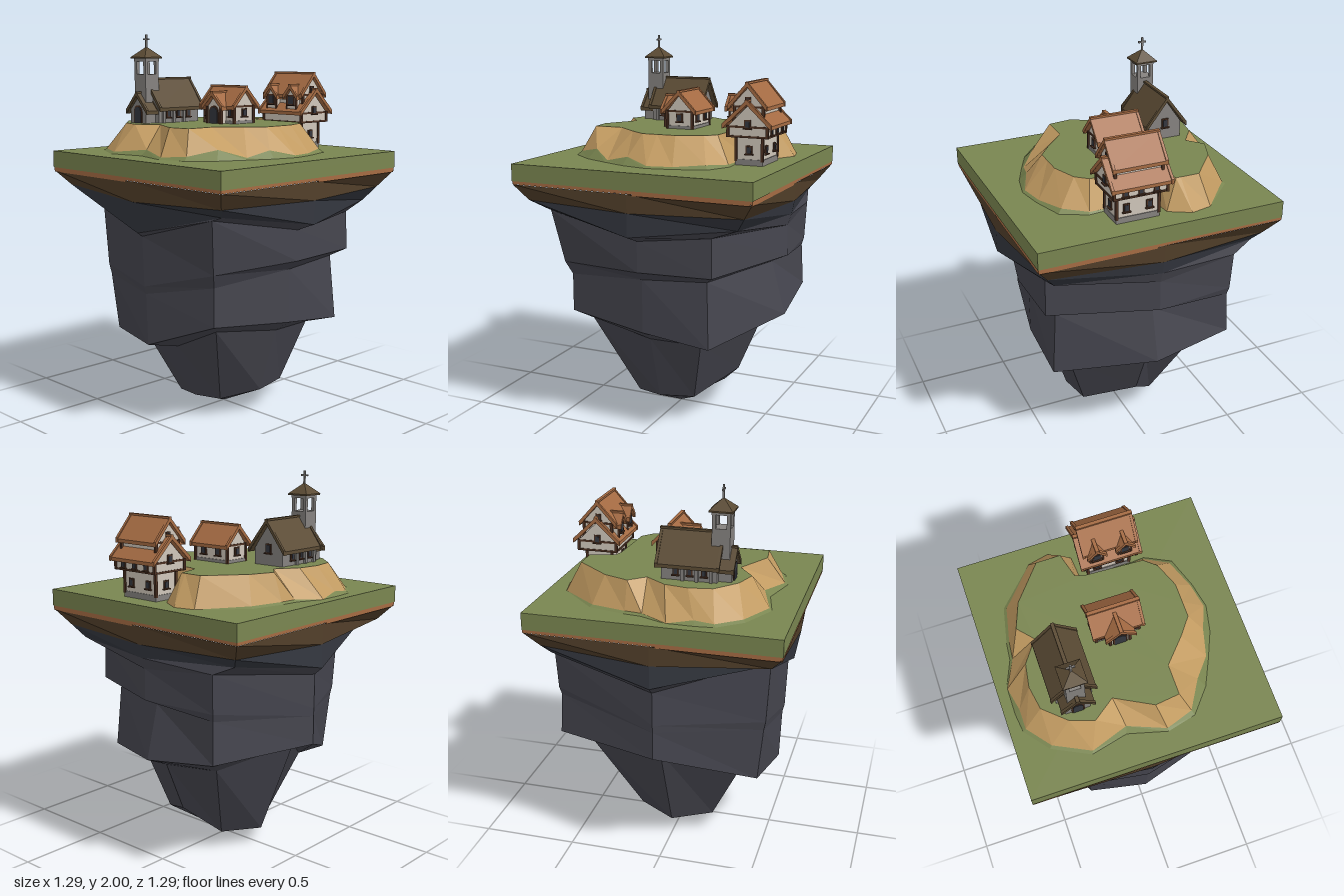
import * as THREE from 'three';

const mat = (name, color) => Object.assign(new THREE.MeshStandardMaterial({ color }), { name });
const M = {
  grass: mat('grass', 0x798550), sand: mat('cliff sand', 0xc39c62), dirt: mat('dirt', 0x523f2a),
  slate: mat('slate', 0x34373f), rock: mat('rock', 0x45454e), tile: mat('clay tile', 0xa56b43),
  shingle: mat('shingle', 0x5b4b34), plaster: mat('plaster', 0xcfc6ba), stone: mat('stone', 0x85827f),
  timber: mat('timber', 0x4e3223),
};

function add(parent, name, geo, material, x = 0, y = 0, z = 0, ry = 0) {
  const m = new THREE.Mesh(geo, material);
  m.name = name;
  m.position.set(x, y, z);
  m.rotation.y = ry;
  parent.add(m);
  return m;
}
function group(parent, name, x, y, z, ry = 0) {
  const g = new THREE.Group();
  g.name = name;
  g.position.set(x, y, z);
  g.rotation.y = ry;
  parent.add(g);
  return g;
}
// box standing on y
const box = (p, name, m, w, h, d, x, y, z) => add(p, name, new THREE.BoxGeometry(w, h, d), m, x, y + h / 2, z);

// flat-shaded skin between closed rings, listed from top to bottom
function skin(rings) {
  const pos = [];
  for (let k = 0; k + 1 < rings.length; k++) {
    const n = rings[k].length;
    for (let i = 0; i < n; i++) {
      const j = (i + 1) % n;
      const [a, b, c, d] = [rings[k][i], rings[k + 1][i], rings[k + 1][j], rings[k][j]];
      pos.push(...a, ...b, ...c, ...a, ...c, ...d);
    }
  }
  const g = new THREE.BufferGeometry();
  g.setAttribute('position', new THREE.Float32BufferAttribute(pos, 3));
  g.computeVertexNormals();
  return g;
}

// 2D outline pushed along z, centred
function prism(points, len) {
  const s = new THREE.Shape(points.map(([x, y]) => new THREE.Vector2(x, y)));
  return new THREE.ExtrudeGeometry(s, { depth: len, bevelEnabled: false }).translate(0, 0, -len / 2);
}
const gableWall = (w, h, rise, len) =>
  prism([[-w / 2, 0], [w / 2, 0], [w / 2, h], [0, h + rise], [-w / 2, h]], len);
const chevron = (w, rise, len, t) =>
  prism([[-w / 2, -t], [0, rise - t], [w / 2, -t], [w / 2, 0], [0, rise], [-w / 2, 0]], len);

// gable roof with raised boards at both ends and a ridge cap
function roof(p, m, w, rise, len, x, y, z, ry = 0) {
  const g = group(p, 'roof', x, y, z, ry);
  add(g, 'roofSlopes', chevron(w, rise, len - 0.01, 0.018), m);
  for (const s of [-1, 1]) add(g, 'bargeBoard', chevron(w + 0.006, rise, 0.014, 0.024), m, 0, 0.005, s * (len / 2 - 0.007));
  box(g, 'ridgeCap', m, 0.018, 0.01, len, 0, rise - 0.004, 0);
}

// thin window with frame and sill, facing ry
function windowAt(p, x, y, z, ry = 0, w = 0.034, h = 0.044) {
  const g = group(p, 'window', x, y, z, ry);
  box(g, 'windowFrame', M.timber, w, h, 0.008, 0, 0, 0);
  box(g, 'windowPane', M.slate, w - 0.012, h - 0.014, 0.009, 0, 0.007, 0.002);
  box(g, 'windowSill', M.timber, w + 0.01, 0.006, 0.016, 0, -0.003, 0.003);
}
function archPlate(w, h, t) {
  const s = new THREE.Shape();
  s.moveTo(-w / 2, 0);
  s.lineTo(w / 2, 0);
  s.lineTo(w / 2, h - w / 2);
  s.absarc(0, h - w / 2, w / 2, 0, Math.PI, false);
  return new THREE.ExtrudeGeometry(s, { depth: t, bevelEnabled: false, curveSegments: 4 });
}
function door(p, w, h, z, frameMat) {
  add(p, 'doorFrame', archPlate(w + 0.014, h + 0.008, 0.005), frameMat, 0, 0, z);
  add(p, 'door', archPlate(w, h, 0.008), M.slate, 0, 0, z);
}
// timber posts at the corners and beams around the foot and head of a wall
function frame(p, w, d, y, h, foot = true) {
  for (const x of [-1, 1]) for (const z of [-1, 1])
    box(p, 'cornerPost', M.timber, 0.014, h, 0.014, x * w / 2, y, z * d / 2);
  for (const yy of foot ? [y, y + h - 0.01] : [y + h - 0.01])
    box(p, 'beam', M.timber, w + 0.008, 0.01, d + 0.008, 0, yy, 0);
}

function buildRock(root) {
  // eight directions, front round to the left: a square for the soil, a skewed one for the rock
  const square = [[0, 1], [1, 1], [1, 0], [1, -1], [0, -1], [-1, -1], [-1, 0], [-1, 1]];
  const skewed = [[0, 1], [.88, 1], [1, 0], [1, -.75], [0, -1], [-.75, -1], [-1, 0], [-.65, 1]];
  const ring = (dirs, r, y) => dirs.map(([x, z], i) => [x * r[i], y[i], z * r[i]]);
  const all = v => Array(8).fill(v);
  const rim = ring(square, all(0.642), all(1.285));
  const soil = ring(square, [.63, .585, .64, .58, .635, .58, .64, .58], [1.18, 1.2, 1.19, 1.2, 1.19, 1.2, 1.18, 1.21]);
  const bulge = ring(square, [.6, .52, .64, .53, .62, .54, .645, .5], [1.02, 1.15, 1.07, 1.13, 1.12, 1.15, 1.06, 1.17]);
  const body = [bulge,
    ring(skewed, [.57, .53, .535, .525, .6, .57, .6, .54], [1.0, 1.13, 1.03, 1.08, 1.06, 1.1, 1.02, 1.15]),
    ring(skewed, [.56, .48, .535, .53, .605, .56, .6, .52], [.74, .85, .87, .88, .9, .9, .84, .8]),
    ring(skewed, [.55, .45, .48, .46, .52, .55, .598, .51], [.7, .78, .82, .84, .86, .86, .8, .75]),
    ring(skewed, [.54, .45, .48, .485, .595, .56, .6, .48], [.43, .58, .54, .5, .58, .64, .65, .45]),
    ring(skewed, [.34, .37, .39, .36, .46, .42, .47, .36], [.38, .53, .48, .47, .52, .55, .62, .42]),
    ring(skewed, [.21, .18, .28, .25, .34, .2, .26, .2], [.08, .09, .13, .14, .24, .1, .09, .08]),
    all([0, 0, 0])];
  add(root, 'soilLayer', skin([rim, soil]), M.dirt);
  add(root, 'slateLayer', skin([soil, bulge]), M.slate);
  add(root, 'floatingRock', skin(body), M.rock);
  box(root, 'claySeam', M.tile, 1.286, 0.018, 1.286, 0, 1.286, 0);
  box(root, 'grassSlab', M.grass, 1.29, 0.088, 1.29, 0, 1.302, 0);
  // partial lower clay strips along each side
  for (let i = 0; i < 4; i++) {
    const side = group(root, 'clayStrip', 0, 0, 0, i * Math.PI / 2);
    box(side, 'strip', M.tile, 0.6, 0.012, 0.008, i % 2 ? 0.33 : -0.34, 1.278, 0.638);
  }
}

function buildHill(root) {
  // top x, top z, foot x, foot z, foot height
  const edge = [
    [.055, .43, .09, .52, .01], [.18, .415, .23, .475, .02], [.18, .26, .31, .34, .05], [.29, .14, .40, .23, .01],
    [.36, .05, .43, .10, .04], [.36, -.03, .485, -.03, .01], [.36, -.13, .46, -.16, .01], [.31, -.26, .40, -.31, .02],
    [.25, -.31, .28, -.38, .01], [-.05, -.325, -.04, -.365, 0], [-.10, -.34, -.06, -.38, 0], [-.135, -.47, -.07, -.51, 0],
    [-.16, -.47, -.18, -.57, 0], [-.26, -.47, -.29, -.545, 0], [-.41, -.29, -.47, -.34, .01], [-.46, -.16, -.51, -.16, .01],
    [-.39, -.08, -.52, -.07, .01], [-.47, .03, -.59, .07, 0], [-.49, .15, -.565, .2, .02], [-.47, .27, -.565, .3, .01],
    [-.36, .37, -.47, .42, .01], [-.24, .41, -.29, .51, .01], [-.13, .33, -.1, .45, .03],
  ];
  const top = edge.map(e => [e[0], 1.54, e[1]]);
  const foot = edge.map(e => [e[2], 1.39 + e[4], e[3]]);
  const spread = e => 1.01 + e[4] * 2;
  const skirt = edge.map(e => [e[2] * spread(e), 1.389, e[3] * spread(e)]);
  add(root, 'cliff', skin([top, foot]), M.sand);
  add(root, 'grassSkirt', skin([foot, skirt]), M.grass);
  const lawn = new THREE.ShapeGeometry(new THREE.Shape(edge.map(e => new THREE.Vector2(e[0], -e[1]))));
  add(root, 'hillTop', lawn.rotateX(-Math.PI / 2), M.grass, 0, 1.54, 0);
}

function buildCottage(root) {
  const g = group(root, 'cottage', 0, 1.54, -0.04);
  add(g, 'walls', gableWall(0.14, 0.09, 0.085, 0.22), M.plaster, 0, 0, 0, Math.PI / 2);
  box(g, 'footing', M.stone, 0.23, 0.016, 0.15, 0, 0, 0);
  frame(g, 0.22, 0.14, 0, 0.095, false);
  roof(g, M.tile, 0.185, 0.1, 0.265, 0, 0.092, 0, Math.PI / 2);
  add(g, 'porchWalls', gableWall(0.1, 0.085, 0.055, 0.11), M.plaster, 0, 0, 0.055);
  for (const s of [-1, 1]) {
    box(g, 'porchPost', M.timber, 0.014, 0.09, 0.014, s * 0.05, 0, 0.108);
    windowAt(g, s * 0.113, 0.035, 0, s * Math.PI / 2);
    windowAt(g, s * 0.05, 0.035, -0.073, Math.PI);
    windowAt(g, s * 0.084, 0.035, 0.072, 0, 0.026);
  }
  roof(g, M.tile, 0.15, 0.075, 0.14, 0, 0.088, 0.06);
  door(g, 0.058, 0.085, 0.109, M.timber);
}

function buildTallHouse(root) {
  const g = group(root, 'tallHouse', 0.095, 1.39, -0.46);
  const q = Math.PI / 2;
  box(g, 'groundFloor', M.plaster, 0.22, 0.15, 0.138, 0, 0, 0);
  box(g, 'footing', M.stone, 0.228, 0.03, 0.146, 0, 0, 0);
  frame(g, 0.22, 0.138, 0.02, 0.13, false);
  // jettied middle floor under the wide roof
  add(g, 'middleFloor', gableWall(0.205, 0.055, 0.1, 0.275), M.plaster, 0, 0.142, 0, q);
  frame(g, 0.275, 0.205, 0.14, 0.058);
  roof(g, M.tile, 0.25, 0.12, 0.32, 0, 0.202, 0, q);
  add(g, 'upperFloor', gableWall(0.15, 0.1, 0.08, 0.245), M.plaster, 0, 0.205, 0.005, q);
  frame(g, 0.245, 0.15, 0.21, 0.085, false);
  roof(g, M.tile, 0.2, 0.115, 0.285, 0, 0.292, 0.005, q);
  for (const s of [-1, 1]) {
    windowAt(g, s * 0.112, 0.055, 0, s * q);
    windowAt(g, s * 0.139, 0.185, 0, s * q);
    windowAt(g, s * 0.125, 0.305, 0.005, s * q, 0.028, 0.034);
    for (const x of [-0.06, 0.06]) windowAt(g, x, 0.055, s * 0.071, s > 0 ? 0 : Math.PI);
    for (const x of [-0.08, 0, 0.08]) windowAt(g, x, 0.152, -0.104, Math.PI, 0.03, 0.036);
    // roof dormers
    const d = group(g, 'dormer', s * 0.073, 0.205, 0.06);
    add(d, 'dormerWalls', gableWall(0.066, 0.08, 0.045, 0.1), M.plaster);
    windowAt(d, 0, 0.03, 0.052, 0, 0.046, 0.056);
    for (const x of [-1, 1]) box(d, 'dormerPost', M.timber, 0.01, 0.085, 0.01, x * 0.032, 0, 0.048);
    roof(d, M.tile, 0.096, 0.06, 0.13, 0, 0.078, 0.003);
  }
}

function buildChurch(root) {
  const g = group(root, 'church', -0.302, 1.54, 0.275);
  // nave
  add(g, 'naveWalls', gableWall(0.18, 0.085, 0.125, 0.28), M.stone, 0, 0, -0.145);
  roof(g, M.shingle, 0.225, 0.15, 0.32, 0, 0.08, -0.15);
  for (const s of [-1, 1]) for (const z of [-0.07, -0.14, -0.21]) {
    windowAt(g, s * 0.092, 0.025, z, s * Math.PI / 2, 0.028, 0.044);
    box(g, 'buttress', M.stone, 0.016, 0.07, 0.016, s * 0.094, 0, z + 0.035);
  }
  windowAt(g, 0, 0.06, -0.287, Math.PI, 0.036, 0.05);
  // porch
  add(g, 'porchWalls', gableWall(0.125, 0.07, 0.065, 0.08), M.stone, 0, 0, 0.02);
  roof(g, M.shingle, 0.165, 0.095, 0.09, 0, 0.065, 0.03);
  door(g, 0.05, 0.085, 0.059, M.timber);
  // tower with open belfry
  box(g, 'tower', M.stone, 0.09, 0.255, 0.09, 0, 0, 0);
  for (const x of [-1, 1]) for (const z of [-1, 1])
    box(g, 'belfryPost', M.stone, 0.018, 0.085, 0.018, x * 0.036, 0.25, z * 0.036);
  box(g, 'belfryLintel', M.stone, 0.092, 0.02, 0.092, 0, 0.322, 0);
  box(g, 'towerEaves', M.shingle, 0.118, 0.008, 0.118, 0, 0.336, 0);
  const cap = new THREE.ConeGeometry(0.084, 0.055, 4).rotateY(Math.PI / 4).toNonIndexed();
  cap.computeVertexNormals();
  add(g, 'towerRoof', cap, M.shingle, 0, 0.371, 0);
  box(g, 'crossPost', M.stone, 0.009, 0.075, 0.009, 0, 0.385, 0);
  box(g, 'crossBar', M.stone, 0.042, 0.009, 0.009, 0, 0.432, 0);
}

export function createModel() {
  const root = new THREE.Group();
  root.name = 'floatingVillage';
  buildRock(root);
  buildHill(root);
  buildCottage(root);
  buildTallHouse(root);
  buildChurch(root);
  return root;
}
